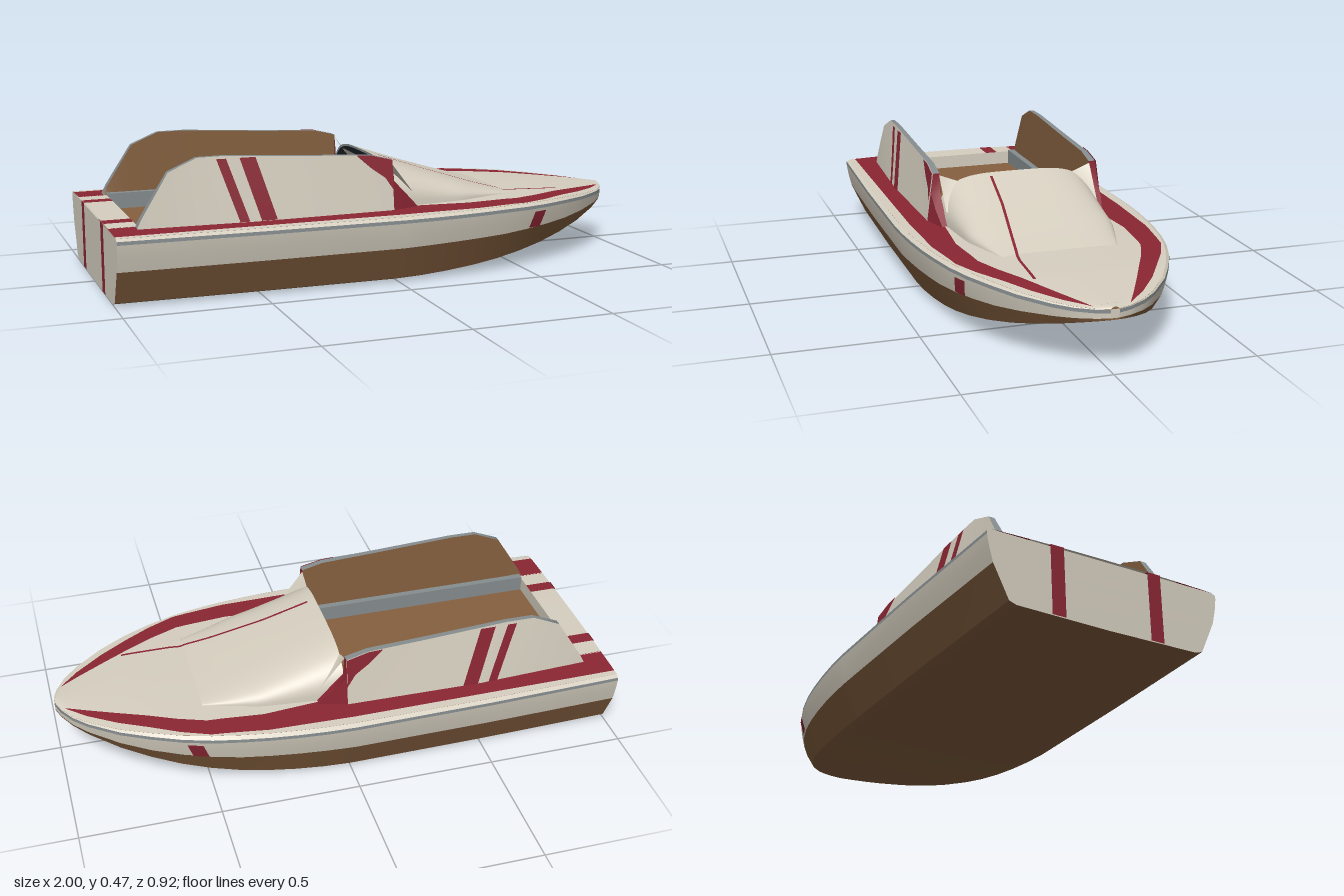
import * as THREE from 'three';

const mat = (name, color) => {
  const m = new THREE.MeshStandardMaterial({ color, side: THREE.DoubleSide });
  m.name = name;
  return m;
};

// Piecewise linear or smooth lookup through [x, value] pairs
const linear = (pts) => (x) => {
  if (x <= pts[0][0]) return pts[0][1];
  for (let i = 1; i < pts.length; i++) {
    const [x0, v0] = pts[i - 1], [x1, v1] = pts[i];
    if (x <= x1) return v0 + (v1 - v0) * (x - x0) / (x1 - x0);
  }
  return pts[pts.length - 1][1];
};
const range = (a, b, n) => Array.from({ length: n + 1 }, (_, i) => a + (b - a) * i / n);

// Hull lines along the length (bow at +x)
const halfWidth = linear([[-1, 0.437], [-0.5, 0.453], [0, 0.46], [0.1, 0.456], [0.2, 0.448], [0.3, 0.436], [0.4, 0.419],
  [0.5, 0.395], [0.6, 0.36], [0.7, 0.313], [0.8, 0.255], [0.9, 0.175], [0.95, 0.12], [0.985, 0.06], [1, 0.015]]);
const keelY = linear([[0, 0], [0.1, 0.003], [0.2, 0.009], [0.3, 0.018], [0.4, 0.031], [0.5, 0.048], [0.6, 0.068],
  [0.7, 0.092], [0.8, 0.12], [0.9, 0.151], [1, 0.184]]);
const chineY = linear([[-1, 0.13], [0, 0.133], [0.4, 0.143], [0.7, 0.16], [1, 0.19]]);
const sheerY = linear([[-1, 0.237], [0.4, 0.237], [0.7, 0.231], [1, 0.218]]);
const deckMid = linear([[-1, 0.252], [0.45, 0.254], [0.7, 0.248], [1, 0.228]]);
const deckY = (x, z) => deckMid(x) - 0.008 * (z / halfWidth(x)) ** 2;

// Red deck band limits
const bandOuter = linear([[-1, 0.4], [0, 0.41], [0.3, 0.402], [0.5, 0.372], [0.6, 0.328], [0.7, 0.27], [0.8, 0.21], [0.9, 0.135], [0.97, 0.065]]);
const bandInner = linear([[-1, 0.28], [0, 0.29], [0.3, 0.315], [0.5, 0.295], [0.6, 0.255], [0.7, 0.205], [0.8, 0.155], [0.9, 0.103], [0.97, 0.064]]);

// Cowl surface
const cowlHalf = linear([[0, 0.3], [0.3, 0.272], [0.5, 0.21]]);
const cowlTop = linear([[0, 0.414], [0.2, 0.346], [0.4, 0.284], [0.5, 0.258]]);
const cowlY = (x, z) => {
  const u = Math.min(1, Math.abs(z) / cowlHalf(x)), d = deckY(x, z);
  return x > 0.5 ? d : d + (cowlTop(x) - d) * Math.pow(1 - u ** 4, 0.4);
};

// Side fin surface
const finTop = linear([[-0.91, 0.25], [-0.895, 0.28], [-0.8, 0.43], [-0.7, 0.473], [-0.6, 0.474], [-0.3, 0.456], [-0.08, 0.445],
  [0, 0.425], [0.005, 0.35], [0.1, 0.252]]);
const finBase = linear([[-0.91, 0.325], [-0.5, 0.346], [0, 0.34], [0.1, 0.31]]);
const finOuter = (x, y) => finBase(x) + (0.308 - finBase(x)) * (y - 0.245) / 0.23;

export function createModel() {
  const group = new THREE.Group();
  const cream = mat('cream paint', 0xd6cfc0), red = mat('dark red paint', 0x8a2633), brown = mat('brown', 0x85603f),
    grey = mat('grey trim', 0x868d8f), dark = mat('dark interior', 0x2a3138);

  // Surface through sections of [x, y, z] points; mirrored over z when asked
  function surface(name, material, sections, mirror = false) {
    const n = sections[0].length;
    for (const s of mirror ? [1, -1] : [1]) {
      const pos = [], idx = [];
      sections.forEach((sec) => sec.forEach(([x, y, z]) => pos.push(x, y, z * s)));
      for (let i = 0; i < sections.length - 1; i++) {
        for (let j = 0; j < n - 1; j++) {
          const a = i * n + j, b = a + 1, c = a + n, d = c + 1;
          if (s > 0) idx.push(a, b, c, b, d, c);
          else idx.push(a, c, b, b, c, d);
        }
      }
      const g = new THREE.BufferGeometry();
      g.setAttribute('position', new THREE.Float32BufferAttribute(pos, 3));
      g.setIndex(idx);
      g.computeVertexNormals();
      const m = new THREE.Mesh(g, material);
      m.name = name;
      group.add(m);
    }
  }
  function box(name, material, x0, x1, y0, y1, z0, z1) {
    const m = new THREE.Mesh(new THREE.BoxGeometry(x1 - x0, y1 - y0, z1 - z0), material);
    m.position.set((x0 + x1) / 2, (y0 + y1) / 2, (z0 + z1) / 2);
    m.name = name;
    group.add(m);
  }

  // Hull: separate strips keep the chines sharp
  const hullX = [-1, -0.75, -0.5, -0.25, ...range(0, 0.9, 18), 0.925, 0.95, 0.97, 0.985, 1];
  const ring = (x) => {
    const w = halfWidth(x), k = keelY(x), c = chineY(x), s = sheerY(x);
    return [[x, k, 0], [x, k + (c - k) * 0.03, w * 0.77], [x, k + (c - k) * 0.1, w * 0.83], [x, c, w * 0.955],
      [x, c + (s - c) * 0.5, w * 0.985], [x, s - 0.012, w], [x, s, w * 0.998], [x, deckY(x, w), w * 0.965]].map(
      ([px, py, pz]) => [px, py, pz]);
  };
  const strip = (name, material, from, to) => surface(name, material, hullX.map((x) => ring(x).slice(from, to + 1)), true);
  strip('hullBottom', brown, 0, 1);
  strip('hullBilge', brown, 1, 2);
  strip('hullLowerSide', brown, 2, 3);
  strip('hullUpperSide', cream, 3, 5);
  strip('rubRail', grey, 5, 6);
  strip('gunwale', cream, 6, 7);
  surface('bowCap', cream, ring(1).slice(3).map(([x, y, z]) => [[x, y, z], [x, y, -z]]));

  // Transom and its two stripes
  surface('transom', cream, ring(-1).map(([x, y, z]) => [[x, y, z], [x, y, -z]]));
  surface('transomStripe', red, [0.004, 0.251].map((y) => [[-1.003, y, 0.16], [-1.003, y, 0.21]]), true);

  // Red flash on each hull side
  const sideZ = (x, y) => {
    const r = ring(x), t = r.findIndex((p, i) => i > 3 && p[1] >= y);
    const a = r[t - 1], b = r[t];
    return a[2] + (b[2] - a[2]) * (y - a[1]) / (b[1] - a[1]);
  };
  surface('sideFlash', red, range(0, 1, 4).map((t) => range(0.153, 0.212, 4).map((y) => {
    const x = 0.512 + 0.053 * t + (y - 0.153) * 0.35;
    return [x, y, sideZ(x, y) + 0.004];
  })), true);

  // Deck in lengthwise bands
  const deckBand = (name, material, xs, inner, outer) => surface(name, material, xs.map((x) =>
    range(inner(x), outer(x), 4).map((z) => [x, deckY(x, z), z])), true);
  const flat = (v) => () => v;
  const bandX = [...hullX.filter((x) => x < 0.96), 0.97];
  deckBand('deckEdge', cream, bandX, bandOuter, (x) => halfWidth(x) * 0.965);
  deckBand('deckRedBand', red, bandX, bandInner, bandOuter);
  deckBand('bowTip', cream, [0.97, 0.985, 1], flat(0), (x) => halfWidth(x) * 0.965);
  deckBand('foreDeck', cream, bandX.filter((x) => x >= 0), flat(0), bandInner);
  const sternX = [-1, -0.9];
  deckBand('sternDeckCentre', cream, sternX, flat(0), flat(0.16));
  deckBand('sternDeckStripe', red, sternX, flat(0.16), flat(0.21));
  deckBand('sternDeckSide', cream, sternX, flat(0.21), flat(0.284));

  // Cockpit well
  box('cockpitFloor', brown, -0.9, 0, 0.18, 0.2, -0.262, 0.262);
  surface('cockpitRearWall', cream, [0.19, 0.252].map((y) => [[-0.9, y, 0.28], [-0.9, y, -0.28]]));
  surface('cockpitFrontWall', dark, [0.19, 0.254].map((y) => [[-0.001, y, 0.28], [-0.001, y, -0.28]]));
  for (const s of [1, -1]) box('cockpitRail', grey, -0.9, 0, 0.19, 0.258, s * 0.274 - 0.014, s * 0.274 + 0.014);

  // Cowl with dark lining and floor
  const cowlX = range(0, 0.5, 16), angles = range(-Math.PI / 2, Math.PI / 2, 40);
  const cowlSections = (drop, xs) => xs.map((x) => angles.map((a) => {
    const z = Math.sin(a) * cowlHalf(x), y = cowlY(x, z);
    return [x, y - drop * (y - deckY(x, z)), z * (1 - drop * 0.6)];
  }));
  surface('cowl', cream, cowlSections(0, cowlX));
  surface('cowlLining', dark, cowlSections(0.05, cowlX.filter((x) => x < 0.45)));
  surface('cowlFloor', dark, [0.001, 0.4].map((x) => [[x, 0.256, cowlHalf(x) * 0.93], [x, 0.256, -cowlHalf(x) * 0.93]]));
  surface('cowlRim', grey, [0, 0.05].map((d) => cowlSections(d, [0])[0]));
  surface('cowlGusset', cream, [[[0, 0.418, 0.292], [0, 0.388, 0.215]], [[0.09, 0.3, 0.29], [0.09, 0.34, 0.225]]], true);

  // Single pinstripe over cowl and foredeck
  const lineZ = linear([[0.03, 0.103], [0.2, 0.114], [0.4, 0.142], [0.55, 0.165], [0.73, 0.172]]);
  surface('pinstripe', red, range(0.03, 0.73, 35).map((x) => [-0.005, 0.005].map((d) => {
    const z = lineZ(x) + d;
    return [x, cowlY(x, z) + 0.004, z];
  })));

  // Side fins: painted outside, brown inside, grey cap
  const finX = [-0.91, -0.895, -0.85, -0.8, -0.75, -0.7, -0.6, -0.5, -0.3, -0.08, 0];
  const noseX = [0, 0.005, 0.05, 0.1];
  const outer = (x) => [[x, 0.245, finOuter(x, 0.245)], [x, finTop(x), finOuter(x, finTop(x))]];
  const inner = (x) => [[x, 0.245, 0.284], [x, finTop(x), 0.29]];
  surface('finOutside', cream, finX.map(outer), true);
  surface('finInside', brown, finX.map(inner), true);
  surface('finCap', grey, finX.map((x) => [outer(x)[1], inner(x)[1]]), true);
  surface('finFrontFace', red, [outer(0), inner(0)], true);
  surface('finNose', red, noseX.map(outer), true);
  surface('finNoseTop', red, noseX.map((x) => [outer(x)[1], inner(x)[1]]), true);

  // Fin stripes and red front corner
  const onFin = (x, y) => [x, y, finOuter(x, y) + 0.004];
  for (const [top, bottom, width] of [[-0.634, -0.562, 0.034], [-0.553, -0.487, 0.056]]) {
    surface('finStripe', red, [0, width].map((d) => range(0, 1, 4).map((t) =>
      onFin(bottom + (top - bottom) * t + d, 0.25 + 0.215 * t))), true);
  }
  const cornerLow = linear([[-0.13, 0.444], [-0.08, 0.4], [-0.03, 0.365], [0, 0.32]]);
  surface('finCorner', red, [-0.13, -0.08, -0.03, 0].map((x) => [onFin(x, cornerLow(x)), onFin(x, finTop(x))]), true);

  return group;
}
